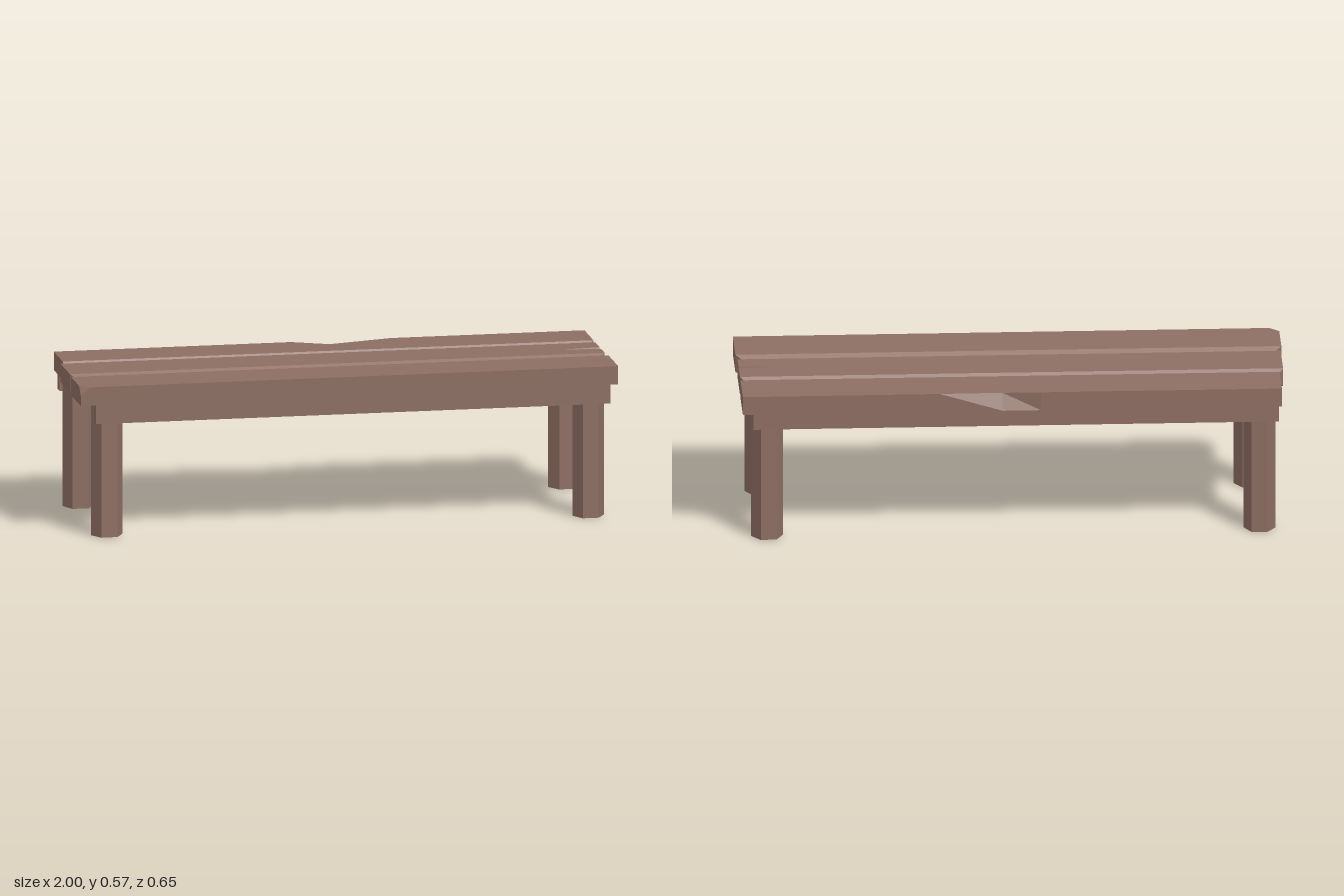
import * as THREE from 'three';

const wood = new THREE.MeshStandardMaterial({ color: 0x8d6e63, flatShading: true });

// Columns across the seat, front to back: z, pinch at the grooves, left end x, right end x
const columns = [
  [0.325, 0, -1, 0.995], [0.29, 0, -1, 0.995], [0.13, 0, -1, 0.995],
  [0.105, 0.018, -0.97, 0.965],
  [0.08, 0, -0.995, 0.99], [0.01, 0, -0.995, 0.99], [-0.002, 0, -0.995, 0.99],
  [-0.02, 0, -0.995, 0.99], [-0.108, 0, -0.995, 0.99],
  [-0.128, 0.018, -0.975, 0.965],
  [-0.145, 0, -0.98, 0.99], [-0.325, 0, -0.98, 0.99],
];
const stations = [null, -0.965, -0.1, 0.04, 0.27, 0.84, null];
const lastStation = stations.length - 1;

function seatPoint(i, j, top) {
  const [z0, pinch, xa, xb] = columns[j];
  const x = i === 0 ? xa : i === lastStation ? xb : stations[i];
  let z = z0;
  let y = top ? 0.566 + 0.012 * z0 - pinch : 0.4975 + 0.013 * z0 + pinch;
  // end crack: closes to a point away from the right end
  if (j >= 5 && j <= 7 && i < lastStation) z = -0.002 + (6 - j) * 0.002;
  if (top) {
    if (j === 6 && i === lastStation) y = 0.516;
    // chipped front corner
    if (j === 0 && i === 0) y -= 0.03;
    // worn dent in the back edge
    if (j === columns.length - 1 && i === 3) { z = -0.3; y -= 0.008; }
  }
  return [x, y, z];
}

function seatGeometry() {
  const n = columns.length;
  const pos = [];
  const quad = (a, b, c, d) => pos.push(...a, ...b, ...d, ...b, ...c, ...d);
  const ring = (i, k) => {
    k %= 2 * n;
    return k < n ? seatPoint(i, k, true) : seatPoint(i, 2 * n - 1 - k, false);
  };
  // skin around the planks
  for (let i = 0; i < lastStation; i++) {
    for (let k = 0; k < 2 * n; k++) {
      quad(ring(i, k), ring(i + 1, k), ring(i + 1, k + 1), ring(i, k + 1));
    }
  }
  // end grain
  for (let j = 0; j < n - 1; j++) {
    for (const i of [0, lastStation]) {
      const face = [seatPoint(i, j, true), seatPoint(i, j, false),
        seatPoint(i, j + 1, false), seatPoint(i, j + 1, true)];
      if (i === 0) face.reverse();
      quad(...face);
    }
  }
  const g = new THREE.BufferGeometry();
  g.setAttribute('position', new THREE.Float32BufferAttribute(pos, 3));
  g.computeVertexNormals();
  return g;
}

export function createModel() {
  const bench = new THREE.Group();
  bench.name = 'bench';
  const add = (name, geometry, x, y, z) => {
    const mesh = new THREE.Mesh(geometry, wood);
    mesh.name = name;
    mesh.position.set(x, y, z);
    bench.add(mesh);
    return mesh;
  };

  add('seatPlanks', seatGeometry(), 0, 0, 0);

  // Rails under the long edges
  add('frontRail', new THREE.BoxGeometry(1.91, 0.075, 0.044), 0.015, 0.4645, 0.284);
  add('backRail', new THREE.BoxGeometry(1.92, 0.07, 0.045), -0.01, 0.463, -0.282);

  // Hexagonal legs, each turned a little differently
  const legs = [
    ['frontLeftLeg', 0.898, 0.247, 0], ['frontRightLeg', -0.89, 0.247, 0.03],
    ['backLeftLeg', 0.898, -0.247, 0.08], ['backRightLeg', -0.902, -0.247, -0.06],
  ];
  for (const [name, x, z, turn] of legs) {
    const leg = add(name, new THREE.CylinderGeometry(0.059, 0.059, 0.498, 6), x, 0.249, z);
    leg.rotation.y = Math.PI / 6 + turn;
  }
  return bench;
}
